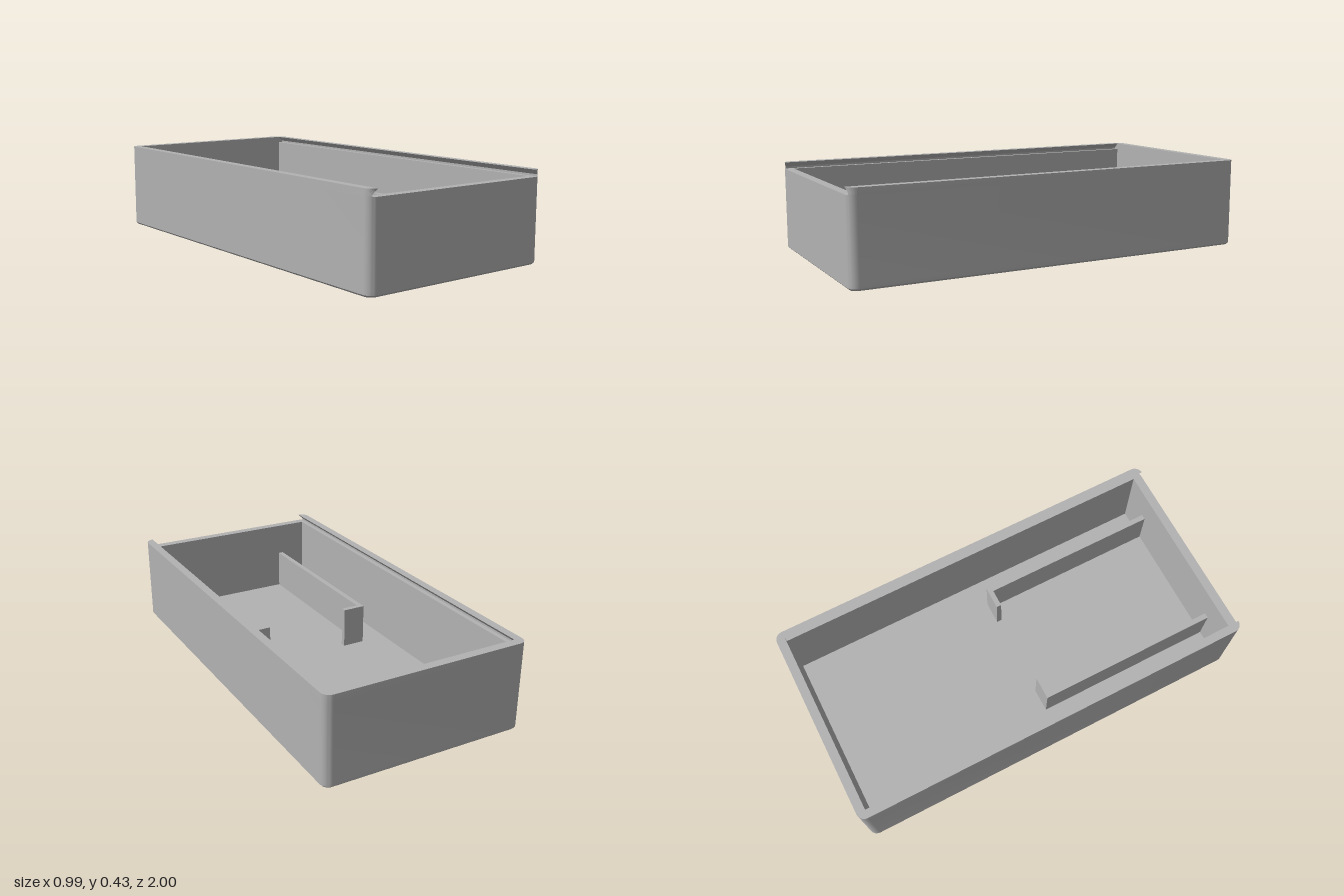
import * as THREE from 'three';
import { toCreasedNormals } from 'three/addons/utils/BufferGeometryUtils.js';

const W = 0.497, L = 1, R = 0.04;              // outer half sizes, corner radius
const IN_X = 0.457, IN_Z = 0.957;              // cavity half sizes
const FLOOR = 0.026, LEDGE = 0.395, TOP = 0.427;

// Plan points are (x, s) with s = -z, counterclockwise from above.
function arc(cx, cs, r, a0, a1, n = 8) {
  return Array.from({ length: n + 1 }, (_, i) => {
    const a = a0 + (a1 - a0) * i / n;
    return new THREE.Vector2(cx + r * Math.cos(a), cs + r * Math.sin(a));
  });
}

function roundedOutline(inset = 0) {
  const cx = W - R, cs = L - R, r = R - inset, q = Math.PI / 2;
  return [
    ...arc(cx, -cs, r, -q, 0), ...arc(cx, cs, r, 0, q),
    ...arc(-cx, cs, r, q, 2 * q), ...arc(-cx, -cs, r, 2 * q, 3 * q),
  ];
}

// U-shaped rim, open at the front, with its inner sides at x = +-xi
function rimOutline(xi) {
  const cx = W - R, cs = L - R, q = Math.PI / 2;
  const a = Math.acos(Math.min(1, Math.max(0, (xi - cx) / R)));
  return [
    ...arc(cx, -cs, R, -a, 0), ...arc(cx, cs, R, 0, q),
    ...arc(-cx, cs, R, q, 2 * q), ...arc(-cx, -cs, R, 2 * q, 2 * q + a),
    new THREE.Vector2(-xi, IN_Z), new THREE.Vector2(xi, IN_Z),
  ];
}

// Closed solid through stacked outlines [[y, points], ...]
function loft(levels) {
  const pos = [];
  const put = (y, p) => pos.push(p.x, y, -p.y);
  for (let k = 0; k + 1 < levels.length; k++) {
    const [y0, lo] = levels[k], [y1, hi] = levels[k + 1];
    lo.forEach((_, i) => {
      const j = (i + 1) % lo.length;
      put(y0, lo[i]); put(y0, lo[j]); put(y1, hi[j]);
      put(y0, lo[i]); put(y1, hi[j]); put(y1, hi[i]);
    });
  }
  const cap = ([y, pts], up) => {
    for (const [a, b, c] of THREE.ShapeUtils.triangulateShape(pts.slice(), [])) {
      put(y, pts[a]); put(y, pts[up ? b : c]); put(y, pts[up ? c : b]);
    }
  };
  cap(levels[0], false);
  cap(levels[levels.length - 1], true);
  const g = new THREE.BufferGeometry();
  g.setAttribute('position', new THREE.Float32BufferAttribute(pos, 3));
  return toCreasedNormals(g, 0.5);
}

// Plan shape raised from y0 to y1
function raise(shape, y0, y1) {
  const g = new THREE.ExtrudeGeometry(shape, { depth: y1 - y0, bevelEnabled: false });
  g.rotateX(-Math.PI / 2).translate(0, y0, 0);
  return toCreasedNormals(g, 0.5);
}

export function createModel() {
  const grey = new THREE.MeshStandardMaterial({ color: 0xb2b2b2 });
  grey.name = 'plain grey';
  const box = new THREE.Group();
  box.name = 'slidingLidBox';
  const add = (name, geometry) => {
    const mesh = new THREE.Mesh(geometry, grey);
    mesh.name = name;
    box.add(mesh);
  };

  // Floor slab with a chamfered lower edge
  add('floor', loft([
    [0, roundedOutline(0.009)], [0.009, roundedOutline()], [FLOOR, roundedOutline()],
  ]));

  // Four walls up to the lid ledge
  const walls = new THREE.Shape(roundedOutline());
  walls.holes.push(new THREE.Path([
    [-IN_X, -IN_Z], [-IN_X, IN_Z], [IN_X, IN_Z], [IN_X, -IN_Z],
  ].map(([x, s]) => new THREE.Vector2(x, s))));
  add('walls', raise(walls, FLOOR, LEDGE));

  // Undercut rim that holds the sliding lid, open at the front
  add('lidRim', loft([
    [LEDGE, rimOutline(0.48)], [0.404, rimOutline(0.48)], [TOP, rimOutline(IN_X)],
  ]));

  // Hooked dividers running back from the front wall
  for (const side of [1, -1]) {
    const plan = [
      [0.326, -IN_Z], [0.326, -0.043], [0.213, -0.043],
      [0.213, -0.068], [0.3, -0.068], [0.3, -IN_Z],
    ].map(([x, s]) => new THREE.Vector2(side * x, s));
    add(side > 0 ? 'leftDivider' : 'rightDivider', raise(new THREE.Shape(plan), FLOOR, 0.227));
  }
  return box;
}
